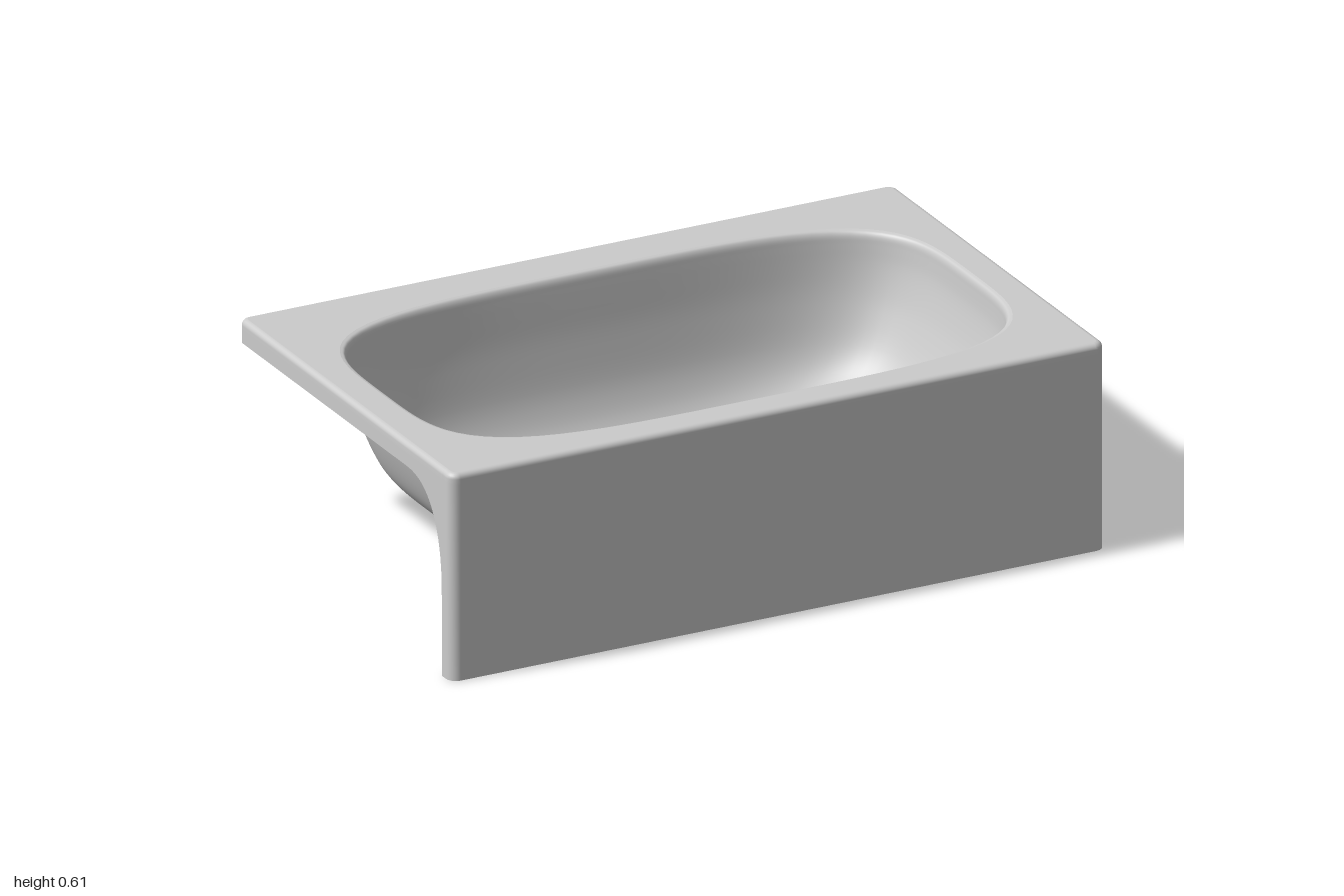
import * as THREE from 'three';

const TOP = 0.607, HALF_Z = 0.622, CORNER = 0.03, EDGE = 0.016;
const BASIN_Z = 0.025, FLOOR = 0.112, DRAIN_Z = -0.22;

// Skin between closed loops of points, listed from top to bottom
function loft(rows) {
  const n = rows[0].length, index = [];
  for (let i = 0; i < rows.length - 1; i++) {
    for (let j = 0; j < n; j++) {
      const k = (j + 1) % n;
      const a = i * n + j, b = i * n + k, c = a + n, d = b + n;
      index.push(a, b, c, b, d, c);
    }
  }
  const geo = new THREE.BufferGeometry().setFromPoints(rows.flat());
  geo.setIndex(index);
  geo.computeVertexNormals();
  return geo;
}

// Flat horizontal plate with one hole, from loops of points
function plate(outer, hole, y) {
  const flat = (loop) => loop.map((p) => new THREE.Vector2(p.x, -p.z));
  const shape = new THREE.Shape(flat(outer));
  shape.holes.push(new THREE.Path(flat(hole)));
  return new THREE.ShapeGeometry(shape).rotateX(-Math.PI / 2).translate(0, y, 0);
}

// Rounded oval loop; a higher power is squarer
function oval(a, b, y, power, cz, segments = 112) {
  return Array.from({ length: segments }, (_, i) => {
    const t = (i / segments) * Math.PI * 2, c = Math.cos(t), s = Math.sin(t);
    const r = (Math.abs(c) ** power + Math.abs(s) ** power) ** (-1 / power);
    return new THREE.Vector3(a * r * c, y, cz + b * r * s);
  });
}

// Outer rim: position, outward direction and the height of the lower edge
function rimOutline() {
  const half = [];
  const arc = (cz, from, bottom) => {
    for (let i = 0; i <= 6; i++) {
      const t = from + (i / 6) * Math.PI / 2, nx = Math.cos(t), nz = Math.sin(t);
      half.push({ x: 1 - CORNER + CORNER * nx, z: cz + CORNER * nz, nx, nz, bottom });
    }
  };
  const side = (z, bottom) => half.push({ x: 1, z, nx: 1, nz: 0, bottom });
  arc(-HALF_Z + CORNER, -Math.PI / 2, 0.54);
  // the side flange sweeps down into the front panel
  for (let i = 0; i <= 16; i++) {
    const t = (i / 16) * Math.PI / 2;
    side(0.36 + 0.208 * Math.sin(t) ** 0.84, 0.23 + 0.31 * Math.cos(t) ** 0.84);
  }
  side(0.568, 0);
  arc(HALF_Z - CORNER, 0, 0);
  const mirrored = half.map((p) => ({ ...p, x: -p.x, nx: -p.nx })).reverse();
  return [...half, ...mirrored];
}

export function createModel() {
  const tub = new THREE.Group();
  tub.name = 'bathtub';
  const material = new THREE.MeshStandardMaterial({ color: 0xcccccc, side: THREE.DoubleSide });
  const add = (name, geometry) => {
    const mesh = new THREE.Mesh(geometry, material);
    mesh.name = name;
    tub.add(mesh);
    return mesh;
  };

  // Apron: rounded top edge, side and back flanges, tall front panel
  const outline = rimOutline();
  const rimRow = (inset, height) => outline.map((p) =>
    new THREE.Vector3(p.x - p.nx * inset, height(p), p.z - p.nz * inset));
  const rows = [];
  for (let i = 0; i <= 5; i++) {
    const t = (i / 5) * Math.PI / 2;
    rows.push(rimRow(EDGE * (1 - Math.sin(t)), () => TOP - EDGE * (1 - Math.cos(t))));
  }
  rows.push(rimRow(0, () => 0.575), rimRow(0, (p) => p.bottom));
  add('apron', loft(rows));

  // Basin: half width, half depth and height from the lip to the floor
  const profile = new THREE.CatmullRomCurve3([
    [0.902, 0.506, TOP], [0.892, 0.496, 0.603], [0.887, 0.490, 0.592], [0.885, 0.487, 0.57],
    [0.880, 0.482, 0.52], [0.864, 0.475, 0.45], [0.845, 0.466, 0.39], [0.806, 0.449, 0.3],
    [0.772, 0.433, 0.25], [0.718, 0.408, 0.2], [0.64, 0.369, 0.153], [0.59, 0.342, 0.13],
    [0.54, 0.32, 0.117], [0.49, 0.304, FLOOR],
  ].map((p) => new THREE.Vector3(...p)));
  const steps = 52;
  const basin = [];
  for (let i = 0; i <= steps; i++) {
    const p = profile.getPoint(i / steps);
    const power = 3.4 + 0.5 * THREE.MathUtils.smoothstep(p.z, FLOOR, 0.25);
    basin.push(oval(p.x, p.y, p.z, power, BASIN_Z));
  }
  add('basinWall', loft(basin));

  // Deck around the basin
  add('deck', plate(rows[0], basin[0], TOP));

  // Floor with the drain opening
  add('basinFloor', plate(basin[steps], oval(0.052, 0.052, 0, 2, DRAIN_Z, 40), FLOOR));

  // Drain cup below the floor
  const cup = [[0, 0.083], [0.036, 0.083], [0.04, 0.087], [0.041, 0.106], [0.044, 0.11], [0.052, FLOOR]];
  const drain = add('drain', new THREE.LatheGeometry(cup.map((p) => new THREE.Vector2(...p)), 40));
  drain.position.z = DRAIN_Z;

  return tub;
}
